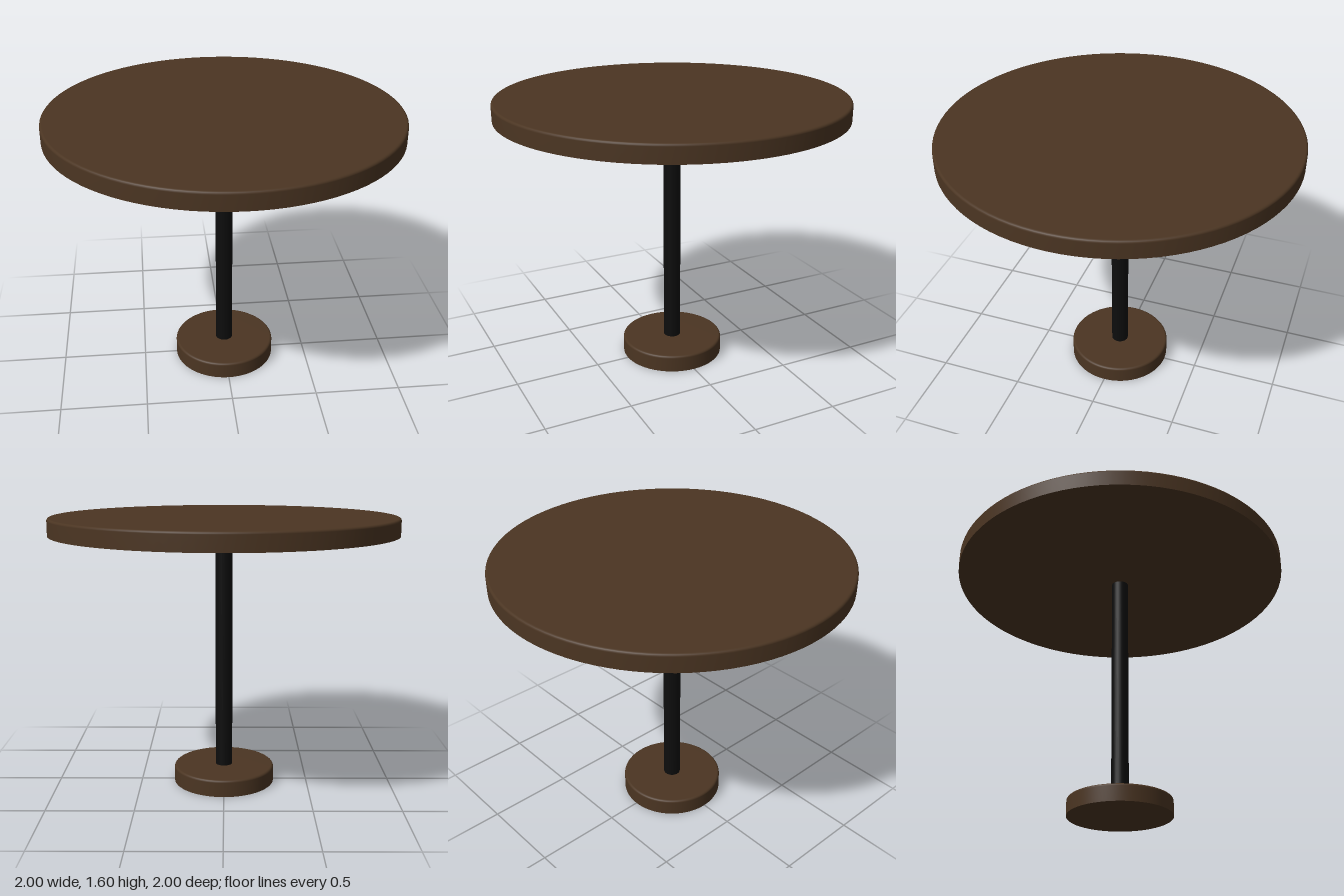
import * as THREE from 'three';

// Solid disc with a softly rounded upper rim and a sharp lower edge
function disc(name, radius, height, y, material) {
  const bevel = 0.014;
  const points = [[0, 0], [radius, 0], [radius, 0]].map(([x, h]) => new THREE.Vector2(x, h));
  for (let i = 0; i <= 4; i++) {
    const a = (i / 4) * Math.PI / 2;
    points.push(new THREE.Vector2(
      radius - bevel + bevel * Math.cos(a),
      height - bevel + bevel * Math.sin(a)
    ));
  }
  points.push(new THREE.Vector2(0, height));
  const mesh = new THREE.Mesh(new THREE.LatheGeometry(points, 96), material);
  mesh.name = name;
  mesh.position.y = y;
  return mesh;
}

export function createModel() {
  const wood = new THREE.MeshStandardMaterial({ color: 0x4b3522 });
  wood.name = 'dark wood';
  const metal = new THREE.MeshStandardMaterial({ color: 0x0d0d0d });
  metal.name = 'black metal';

  const table = new THREE.Group();
  table.name = 'pedestalTable';

  // Foot and round top share the same rim profile
  table.add(disc('base', 0.3, 0.1, 0, wood));
  table.add(disc('tableTop', 1, 0.1, 1.5, wood));

  // Centre column, sunk slightly into both discs
  const column = new THREE.Mesh(new THREE.CylinderGeometry(0.05, 0.05, 1.42, 32), metal);
  column.name = 'column';
  column.position.y = 0.8;
  table.add(column);

  return table;
}
